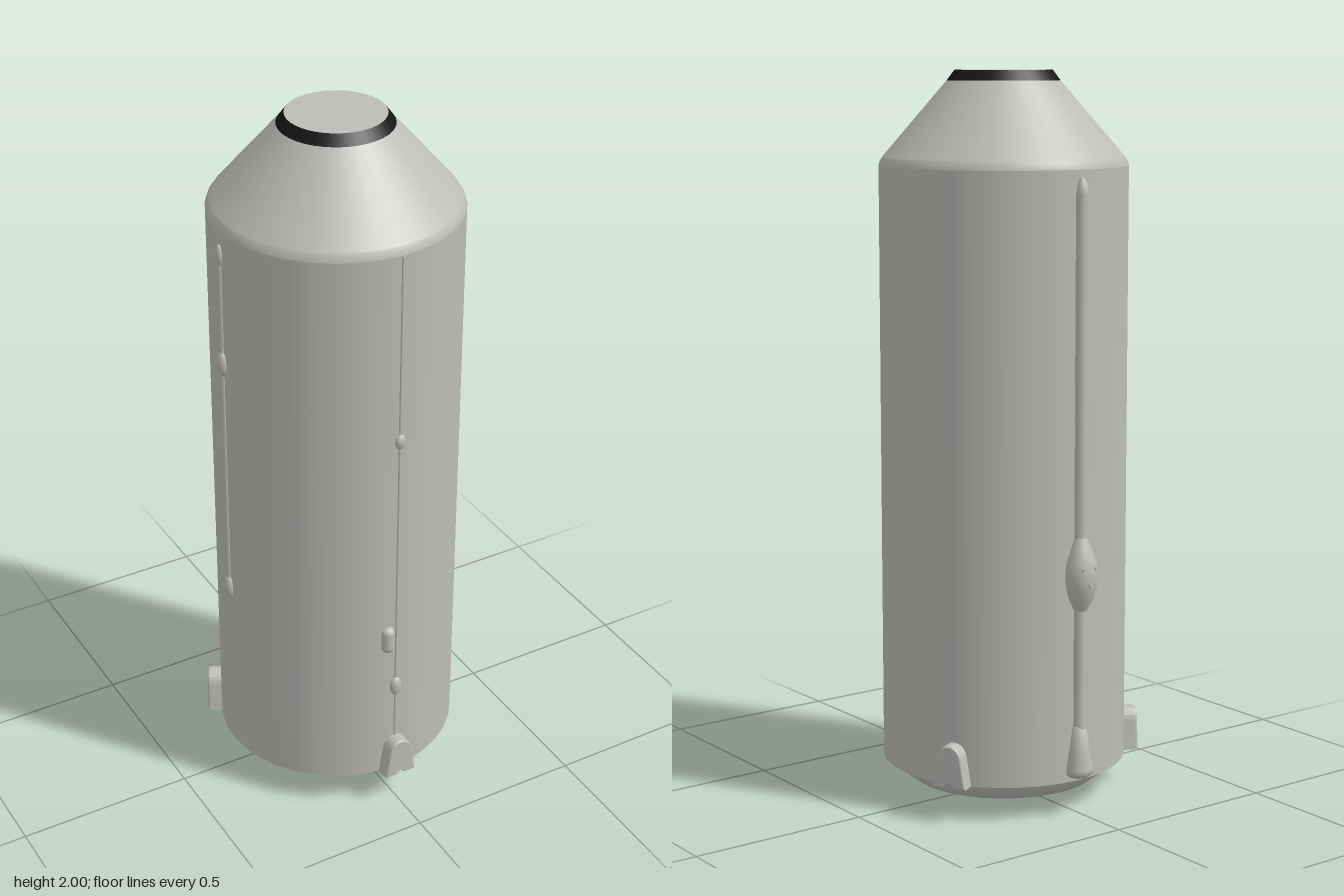
import * as THREE from 'three';

const V = (pts) => pts.map(([r, y]) => new THREE.Vector2(r, y));

export function createModel() {
  const root = new THREE.Group();
  const grey = new THREE.MeshStandardMaterial({ name: 'hull grey', color: 0xbcbcb8 });
  const black = new THREE.MeshStandardMaterial({ name: 'collar black', color: 0x161616 });
  const CX = 0.004, CZ = 0.006, R = 0.34;

  const add = (parent, name, geo, mat = grey) => {
    const m = new THREE.Mesh(geo, mat);
    m.name = name;
    parent.add(m);
    return m;
  };
  const lathe = (parent, name, pts, mat = grey, seg = 36) =>
    add(parent, name, new THREE.LatheGeometry(V(pts), seg), mat);

  // Hull: each smooth section is its own lathe so the edges between stay sharp
  const hull = new THREE.Group();
  hull.name = 'hull';
  hull.position.set(CX, 0, CZ);
  root.add(hull);
  lathe(hull, 'bottomDome', [[0, 0], [0.1, 0.005], [0.2, 0.02], [0.26, 0.038], [0.295, 0.065], [0.312, 0.1]]);
  lathe(hull, 'bottomRim', [[0.305, 0.095], [R, 0.095]]);
  lathe(hull, 'barrel', [[R, 0.095], [R, 1.745]]);
  lathe(hull, 'shoulder', [[R, 1.745], [0.337, 1.757], [0.33, 1.768]]);
  lathe(hull, 'upperCone', [[0.33, 1.768], [0.154, 1.972]]);
  lathe(hull, 'collarRing', [[0.154, 1.972], [0.133, 2]], black);
  lathe(hull, 'topCap', [[0.133, 2], [0, 2]]);

  // Places a group on the hull wall; local +z points outward
  const onWall = (name, angle) => {
    const g = new THREE.Group();
    g.name = name;
    g.rotation.y = angle;
    hull.add(g);
    return g;
  };

  // Three arched feet, 120 degrees apart
  const arch = new THREE.Shape();
  arch.moveTo(-0.043, 0);
  arch.lineTo(-0.03, 0.08);
  arch.bezierCurveTo(-0.022, 0.118, 0.022, 0.118, 0.03, 0.08);
  arch.lineTo(0.043, 0);
  arch.lineTo(0.016, 0);
  arch.quadraticCurveTo(0, 0.022, -0.016, 0);
  arch.closePath();
  const footGeo = new THREE.ExtrudeGeometry(arch, {
    depth: 0.052, bevelThickness: 0.007, bevelSize: 0.005, bevelSegments: 3, curveSegments: 10,
  });
  ['frontFoot', 'leftRearFoot', 'rightRearFoot'].forEach((name, i) => {
    const foot = add(onWall(name, i * Math.PI * 2 / 3), 'archedFoot', footGeo);
    foot.position.set(0, 0.1, 0.319);
  });

  // Rear conduit with pointed tip, flared base and bolted housing
  const rear = onWall('rearConduit', Math.PI);
  lathe(rear, 'conduitPipe', [[0.019, 0.24], [0.019, 1.68], [0.014, 1.71], [0, 1.73]], grey, 16)
    .position.z = 0.341;
  lathe(rear, 'conduitFlare', [[0, 0.105], [0.028, 0.107], [0.039, 0.115], [0.041, 0.13],
    [0.03, 0.19], [0.021, 0.25], [0, 0.252]], grey, 16).position.z = 0.338;
  const housing = lathe(rear, 'conduitHousing', [[0.018, 0.57], [0.034, 0.6], [0.045, 0.635], [0.048, 0.67],
    [0.044, 0.705], [0.03, 0.74], [0.018, 0.77]], grey, 16);
  housing.position.z = 0.342;
  [[-0.02, 0.69], [0.02, 0.69], [0, 0.645]].forEach(([x, y]) => {
    const bolt = add(rear, 'housingBolt', new THREE.CylinderGeometry(0.006, 0.006, 0.008, 10));
    bolt.rotation.x = Math.PI / 2;
    bolt.position.set(x, y, x ? 0.385 : 0.388);
  });

  // Thin cables with small clamps
  const cable = (name, angle, y0, y1, r, clamps) => {
    const g = onWall(name, angle);
    const rod = add(g, 'cableRod', new THREE.CylinderGeometry(r, r, y1 - y0, 8));
    rod.position.set(0, (y0 + y1) / 2, R);
    clamps.forEach(([y, w, h, d]) => {
      const c = add(g, 'cableClamp', new THREE.SphereGeometry(1, 14, 10));
      c.scale.set(w / 2, h / 2, d);
      c.position.set(0, y, R);
    });
    return g;
  };
  cable('sideCable', -Math.PI / 2, 0.63, 1.7, 0.007,
    [[1.68, 0.026, 0.06, 0.012], [1.36, 0.036, 0.075, 0.016], [0.64, 0.036, 0.075, 0.016]]);
  const front = cable('frontCable', 0, 0.2, 1.745, 0.004,
    [[1.2, 0.03, 0.045, 0.012], [0.39, 0.036, 0.06, 0.014]]);

  // Small rounded box beside the front cable
  const box = add(front, 'junctionBox', new THREE.CapsuleGeometry(0.02, 0.045, 5, 12));
  box.position.set(-0.026, 0.56, 0.337);
  return root;
}
